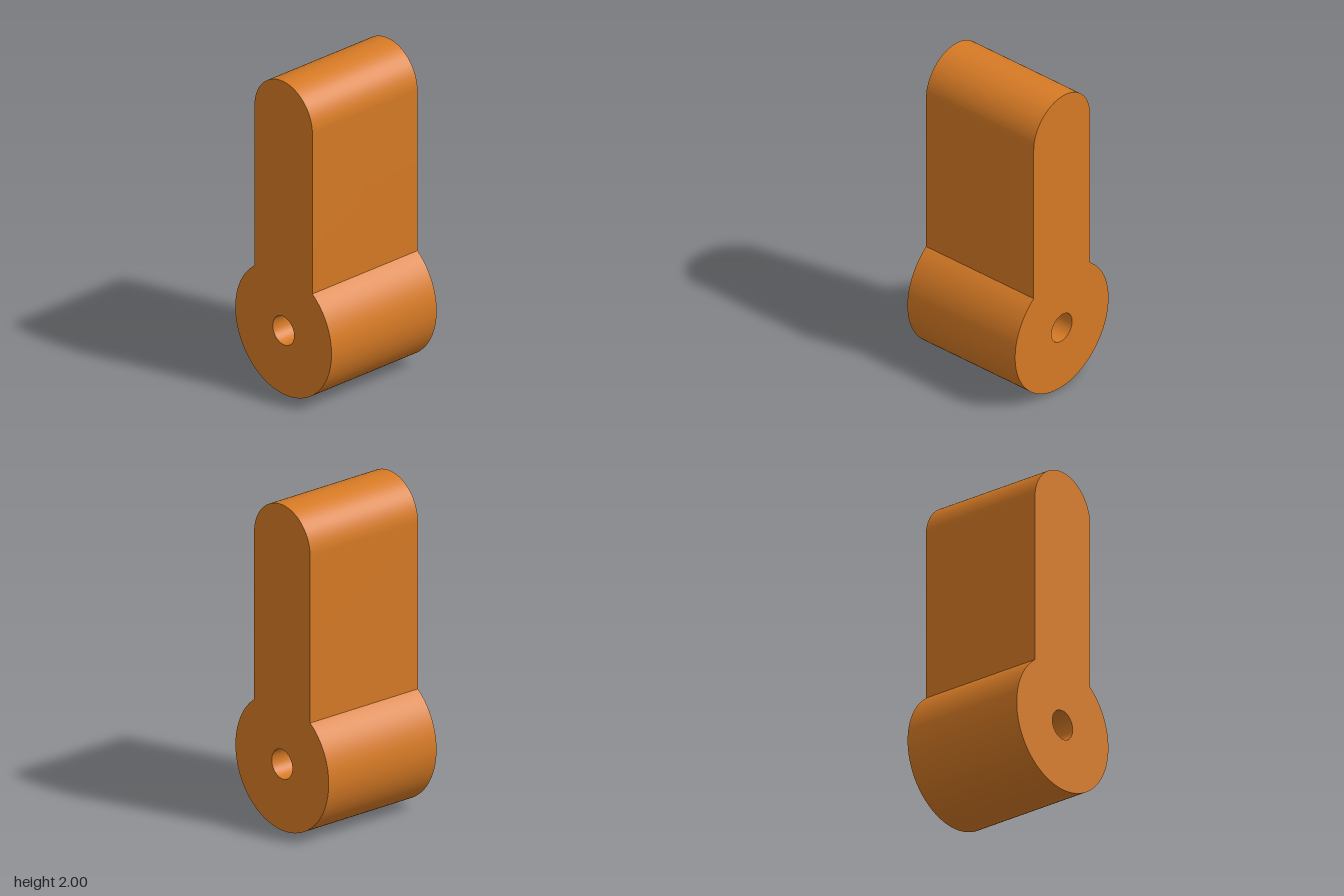
import * as THREE from 'three';
import { toCreasedNormals } from 'three/addons/utils/BufferGeometryUtils.js';

const HUB_R = 0.407;   // hub radius, also its centre height
const ARM_R = 0.245;   // half width of the arm and radius of its round end
const HOLE_R = 0.09;
const DEPTH = 0.814;

export function createModel() {
  const model = new THREE.Group();
  model.name = 'leverArm';

  const orange = new THREE.MeshStandardMaterial({ color: 0xd67a25 });
  orange.name = 'orange';

  // Keyhole outline: rounded arm rising out of a circular hub
  const join = Math.acos(ARM_R / HUB_R);
  const armTop = 2 - ARM_R;
  const outline = new THREE.Shape();
  outline.moveTo(ARM_R, HUB_R + HUB_R * Math.sin(join));
  outline.lineTo(ARM_R, armTop);
  outline.absarc(0, armTop, ARM_R, 0, Math.PI, false);
  outline.lineTo(-ARM_R, HUB_R + HUB_R * Math.sin(join));
  outline.absarc(0, HUB_R, HUB_R, Math.PI - join, Math.PI * 2 + join, false);

  // Shaft hole through the hub
  const hole = new THREE.Path();
  hole.absarc(0, HUB_R, HOLE_R, 0, Math.PI * 2, true);
  outline.holes.push(hole);

  const solid = new THREE.ExtrudeGeometry(outline, {
    depth: DEPTH, bevelEnabled: false, curveSegments: 64,
  });
  solid.translate(0, 0, -DEPTH / 2);

  // Smooth curved walls, sharp rims and hub joints
  const lever = new THREE.Mesh(toCreasedNormals(solid, Math.PI / 6), orange);
  lever.name = 'armWithHub';
  model.add(lever);
  return model;
}
